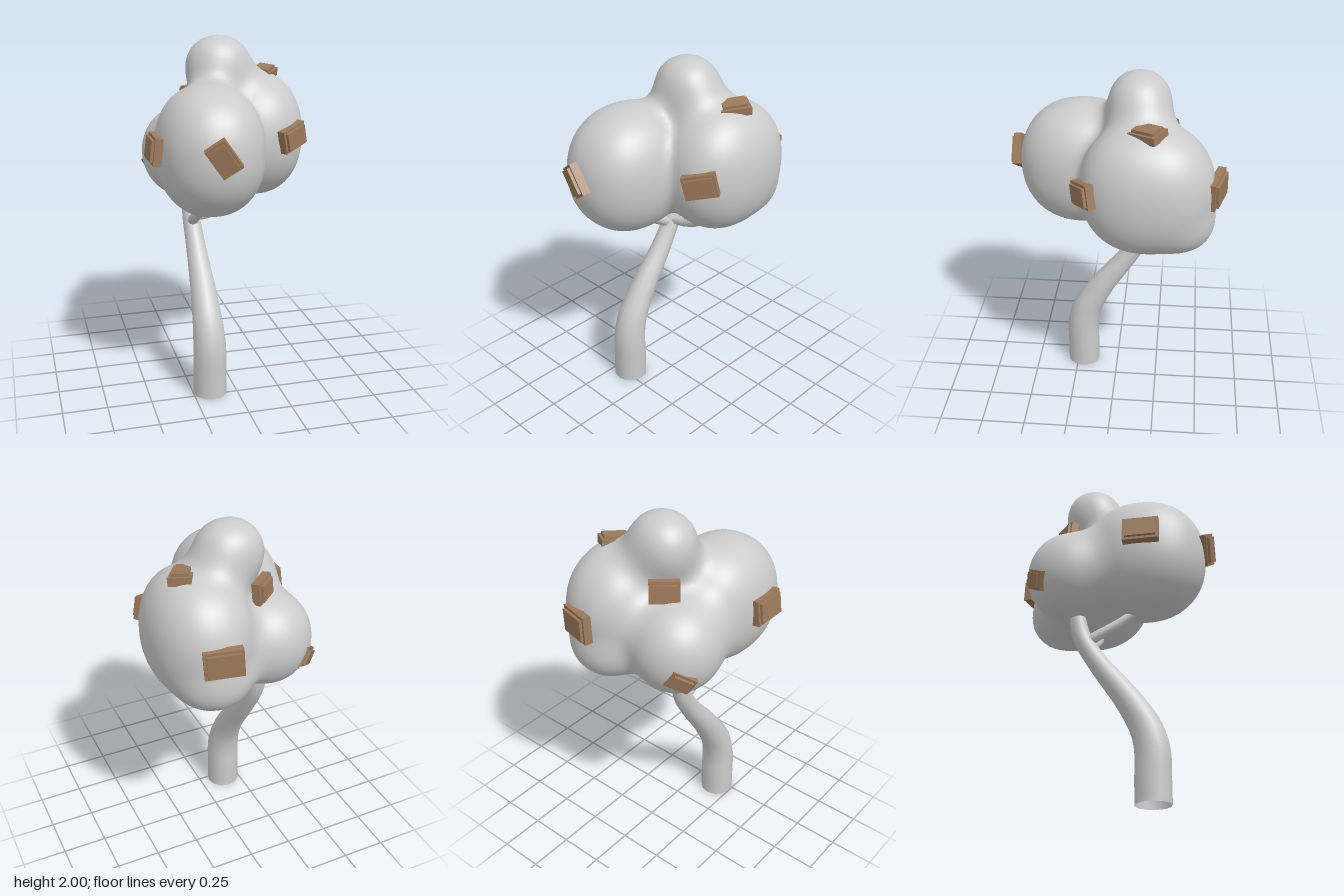
import * as THREE from 'three';

const grey = new THREE.MeshStandardMaterial({ color: 0xcccccc, side: THREE.DoubleSide });
const brown = new THREE.MeshStandardMaterial({ color: 0x9c7a5a });
const V = (x, y, z) => new THREE.Vector3(x, y, z);

// Foliage lobes: centre, radii, roundness exponent and blend width
const lobes = [
  { c: [-0.14, 1.425, 0.185], r: [0.292, 0.354, 0.355], e: 2.2, k: 0.04 },
  { c: [0.2, 1.435, -0.185], r: [0.282, 0.36, 0.358], e: 2.2, k: 0.05 },
  { c: [-0.18, 1.335, -0.225], r: [0.255, 0.265, 0.257], e: 2.05, k: 0.11 },
  { c: [-0.01, 1.82, -0.13], r: [0.185, 0.18, 0.17], e: 2.1, k: 0.12 },
  { c: [0.18, 1.235, -0.395], r: [0.17, 0.13, 0.14], e: 2, k: 0.1 },
];

// Signed field of the softly blended lobes, negative inside
function field(x, y, z) {
  const p = [x, y, z];
  return lobes.reduce((d, { c, r, e, k }) => {
    const s = p.reduce((t, v, i) => t + Math.abs((v - c[i]) / r[i]) ** e, 0) ** (1 / e);
    const f = (s - 1) * Math.min(...r);
    const h = Math.max(k - Math.abs(d - f), 0) / k;
    return Math.min(d, f) - h * h * k * 0.25;
  }, 2);
}

// Surface net: one vertex per cell the surface crosses, one quad per crossed grid edge
function foliageGeometry(step = 0.025) {
  const min = [-0.55, 0.97, -0.66], n = [46, 45, 52];
  const id = (i, j, k) => (k * n[1] + j) * n[0] + i;
  const val = new Float32Array(n[0] * n[1] * n[2]);
  const cell = new Int32Array(val.length).fill(-1);
  const pos = [], nor = [], index = [];
  const each = (m, fn) => {
    for (let k = 0; k < n[2] - m; k++)
      for (let j = 0; j < n[1] - m; j++)
        for (let i = 0; i < n[0] - m; i++) fn(i, j, k);
  };
  each(0, (i, j, k) => {
    val[id(i, j, k)] = field(min[0] + i * step, min[1] + j * step, min[2] + k * step);
  });
  each(1, (...g) => {
    const sum = V(0, 0, 0);
    let count = 0;
    for (let a = 0; a < 8; a++) {
      for (let bit = 1; bit < 8; bit *= 2) {
        if (a & bit) continue;
        const [p, q] = [a, a | bit].map(c => [c & 1, (c >> 1) & 1, c >> 2]);
        const [u, v] = [p, q].map(c => val[id(g[0] + c[0], g[1] + c[1], g[2] + c[2])]);
        if ((u < 0) === (v < 0)) continue;
        sum.add(V(...p).lerp(V(...q), u / (u - v)));
        count++;
      }
    }
    if (!count) return;
    const [x, y, z] = sum.divideScalar(count).toArray().map((s, i) => min[i] + (g[i] + s) * step);
    const e = 0.012;
    cell[id(...g)] = pos.length / 3;
    pos.push(x, y, z);
    nor.push(...V(field(x + e, y, z) - field(x - e, y, z), field(x, y + e, z) - field(x, y - e, z),
      field(x, y, z + e) - field(x, y, z - e)).normalize().toArray());
  });
  const stride = [1, n[0], n[0] * n[1]];
  each(1, (i, j, k) => {
    const o = id(i, j, k);
    for (let a = 0; a < 3; a++) {
      const inside = val[o] < 0;
      if (inside === (val[o + stride[a]] < 0)) continue;
      const b = stride[(a + 1) % 3], c = stride[(a + 2) % 3];
      const q = [o - b - c, o - c, o, o - b].map(t => cell[t]);
      if (!inside) q.reverse();
      index.push(q[0], q[1], q[2], q[0], q[2], q[3]);
    }
  });
  const geo = new THREE.BufferGeometry();
  geo.setAttribute('position', new THREE.Float32BufferAttribute(pos, 3));
  geo.setAttribute('normal', new THREE.Float32BufferAttribute(nor, 3));
  geo.setIndex(index);
  return geo;
}

// Open tube whose radius is interpolated along its points [x, y, z, radius]
function taperedTube(name, pts, segments, sides) {
  const curve = new THREE.CatmullRomCurve3(pts.map(p => V(p[0], p[1], p[2])));
  const radii = new THREE.CatmullRomCurve3(pts.map((p, i) => V(i, p[3], 0)));
  const geo = new THREE.TubeGeometry(curve, segments, 1, sides, false);
  const P = geo.attributes.position, v = V(0, 0, 0);
  for (let i = 0; i < P.count; i++) {
    const t = curve.getUtoTmapping(Math.floor(i / (sides + 1)) / segments);
    const c = curve.getPoint(t);
    v.fromBufferAttribute(P, i).sub(c).multiplyScalar(radii.getPoint(t).y).add(c);
    P.setXYZ(i, v.x, Math.max(v.y, 0), v.z);
  }
  geo.computeVertexNormals();
  // Close the shading seam
  const N = geo.attributes.normal;
  for (let s = 0; s <= segments; s++) {
    const a = s * (sides + 1), b = a + sides;
    v.fromBufferAttribute(N, a).add(V(N.getX(b), N.getY(b), N.getZ(b))).normalize();
    for (const i of [a, b]) N.setXYZ(i, v.x, v.y, v.z);
  }
  const mesh = new THREE.Mesh(geo, grey);
  mesh.name = name;
  return mesh;
}

// Stepped block sitting on the foliage, facing along the normal
function barkPlate(pos, normal, w, h, roll) {
  const plate = new THREE.Group();
  plate.name = 'barkPlate';
  const layers = [['plateBase', 0, 0.045, -0.008], ['platePanel', 0.03, 0.018, 0.021]];
  for (const [name, inset, depth, z] of layers) {
    const m = new THREE.Mesh(new THREE.BoxGeometry(w - inset, h - inset, depth), brown);
    m.name = name;
    m.position.z = z;
    plate.add(m);
  }
  plate.position.set(...pos);
  plate.lookAt(V(...pos).add(V(...normal)));
  plate.rotateZ(THREE.MathUtils.degToRad(roll));
  return plate;
}

export function createModel() {
  const tree = new THREE.Group();
  tree.name = 'tree';

  const foliage = new THREE.Mesh(foliageGeometry(), grey);
  foliage.name = 'foliage';
  tree.add(foliage);

  // Trunk leaning back, and two branches
  tree.add(
    taperedTube('trunk', [
      [-0.152, 0, 0.215, 0.098], [-0.152, 0.14, 0.215, 0.098], [-0.152, 0.28, 0.215, 0.096],
      [-0.154, 0.4, 0.188, 0.089], [-0.156, 0.5, 0.137, 0.081], [-0.157, 0.6, 0.073, 0.073],
      [-0.162, 0.8, -0.075, 0.058], [-0.168, 0.95, -0.163, 0.052],
      [-0.172, 1.07, -0.192, 0.047], [-0.175, 1.15, -0.2, 0.042],
    ], 40, 12),
    taperedTube('frontBranch', [
      [-0.167, 0.92, -0.16, 0.034], [-0.17, 0.975, -0.06, 0.03],
      [-0.16, 1.035, 0.04, 0.027], [-0.15, 1.1, 0.13, 0.024],
    ], 14, 8),
    taperedTube('leftBranch', [
      [-0.17, 0.96, -0.155, 0.028], [-0.1, 0.955, -0.155, 0.026], [0.03, 1.0, -0.14, 0.025],
      [0.12, 1.065, -0.128, 0.024], [0.17, 1.12, -0.12, 0.023],
    ], 18, 8),
  );

  // Plates: position, facing, width, height, roll
  const plates = [
    [[-0.155, 1.46, 0.554], [-0.22, -0.15, 1], 0.175, 0.12, -56],
    [[-0.447, 1.455, 0.21], [-1, 0.13, 0], 0.2, 0.145, 0],
    [[0.347, 1.46, 0.145], [0.55, 0, 0.85], 0.18, 0.13, 14],
    [[0.272, 1.782, -0.185], [0.04, 1, 0.14], 0.165, 0.12, 40],
    [[0.217, 1.455, -0.555], [0.3, 0, -1], 0.205, 0.155, 4],
    [[-0.345, 1.255, -0.395], [-0.6, -0.2, -0.75], 0.14, 0.11, -30],
    [[-0.14, 1.65, -0.275], [-0.65, 0.1, -0.75], 0.16, 0.12, 0],
  ];
  for (const p of plates) tree.add(barkPlate(...p));

  return tree;
}
